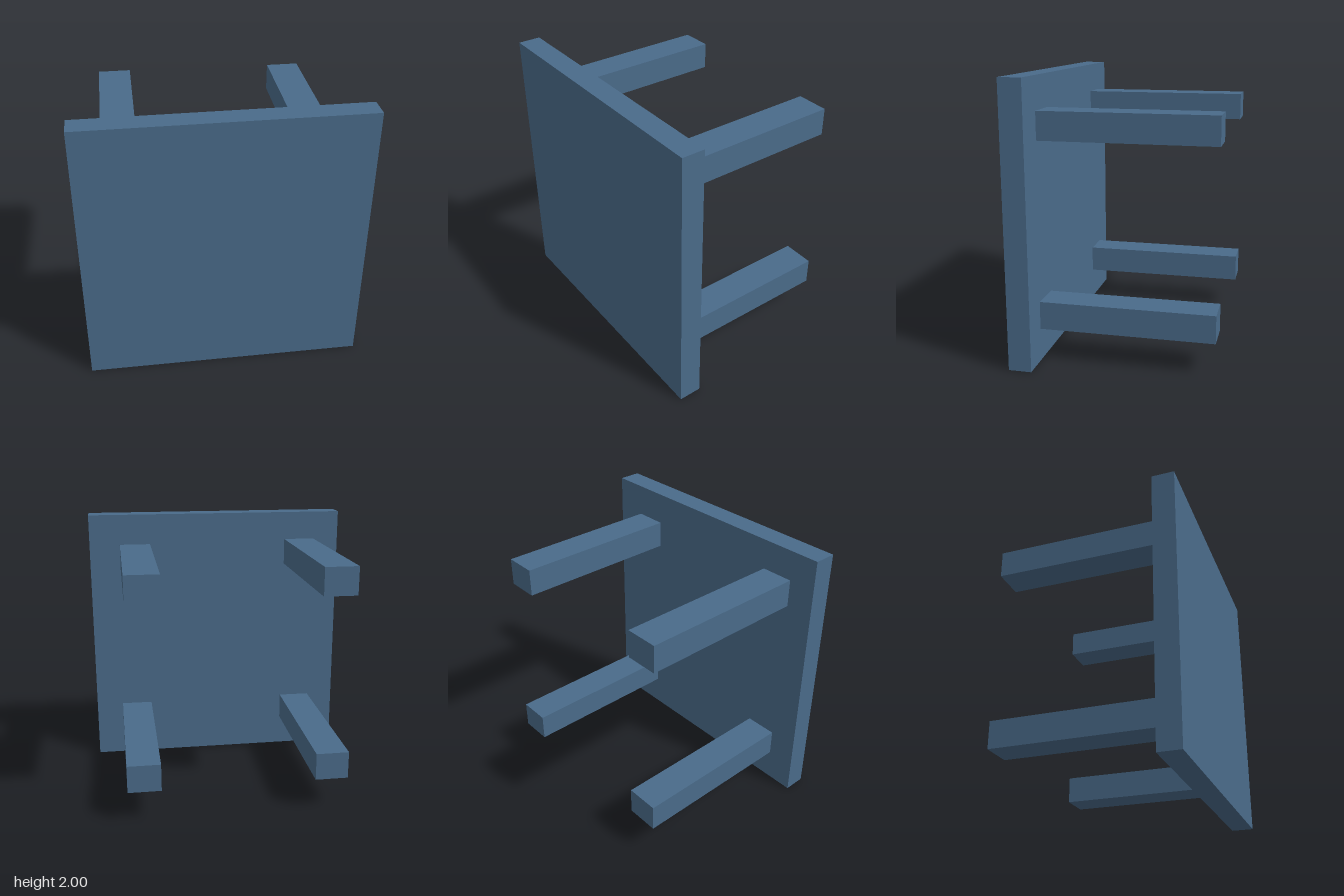
import * as THREE from 'three';

export function createModel() {
  const model = new THREE.Group();
  model.name = 'table';

  const paint = new THREE.MeshStandardMaterial({ color: 0x4a6b8a });
  paint.name = 'slate blue';

  function box(name, w, h, d, x, y, z) {
    const mesh = new THREE.Mesh(new THREE.BoxGeometry(w, h, d), paint);
    mesh.name = name;
    mesh.position.set(x, y, z);
    model.add(mesh);
  }

  // Square table top, standing on its edge
  const front = 0.7, back = 0.537;
  box('tableTop', 2, 2, front - back, 0, 1, (front + back) / 2);

  // Four square legs, slightly unevenly placed: name, centre x, centre y
  const legLength = back + 0.7;
  const legs = [
    ['upperLeftLeg', 0.646, 1.666],
    ['upperRightLeg', -0.679, 1.683],
    ['lowerLeftLeg', 0.672, 0.334],
    ['lowerRightLeg', -0.67, 0.339],
  ];
  for (const [name, x, y] of legs) {
    box(name, 0.238, 0.2, legLength, x, y, back - legLength / 2);
  }

  return model;
}
